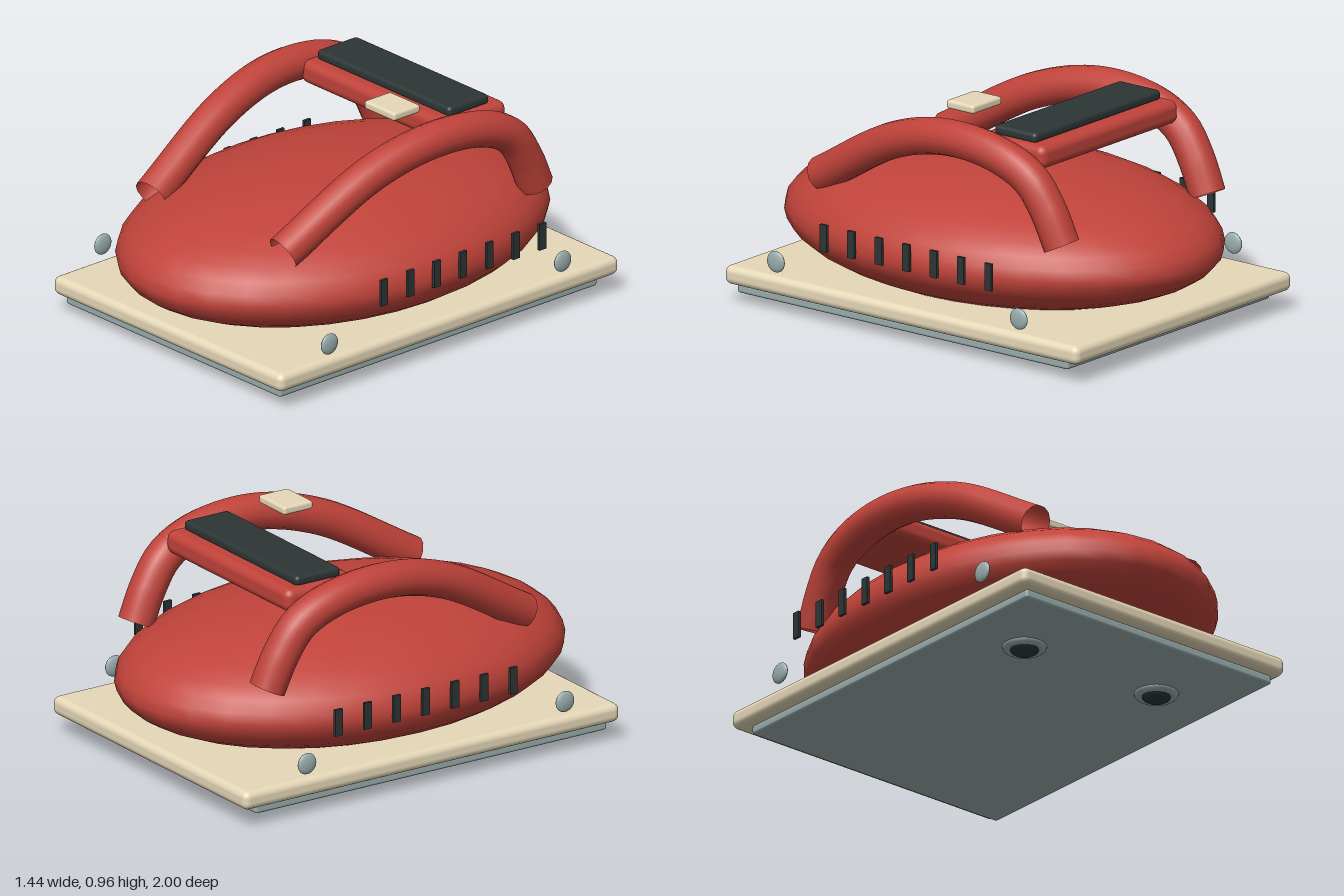
import * as THREE from 'three';
import { RoundedBoxGeometry } from 'three/addons/geometries/RoundedBoxGeometry.js';

const paint = (color, side = THREE.FrontSide) => new THREE.MeshStandardMaterial({ color, side });

export function createModel() {
  const model = new THREE.Group();
  const red = paint(0xc0433a), redOpen = paint(0xc0433a, THREE.DoubleSide);
  const cream = paint(0xe6d8b8), steel = paint(0x9aadad), dark = paint(0x2c3535);

  const add = (name, geometry, material, x = 0, y = 0, z = 0) => {
    const mesh = new THREE.Mesh(geometry, material);
    mesh.name = name;
    mesh.position.set(x, y, z);
    model.add(mesh);
    return mesh;
  };
  const slab = (name, material, [w, h, d], [x, y, z], r) =>
    add(name, new RoundedBoxGeometry(w, h, d, 3, r), material, x, y, z);

  // Body: an ellipsoid, slightly shallower below its middle
  const shell = new THREE.SphereGeometry(1, 32, 20);
  const p = shell.attributes.position;
  for (let i = 0; i < p.count; i++) {
    const y = p.getY(i);
    p.setXYZ(i, p.getX(i) * 0.71, y * (y > 0 ? 0.3 : 0.265), p.getZ(i));
  }
  shell.computeVertexNormals();
  // Keep the seam and poles smooth with the ellipsoid's own normals
  const n = shell.attributes.normal, v = new THREE.Vector3();
  for (let i = 0; i < p.count; i++) {
    const ry = p.getY(i) > 0 ? 0.3 : 0.265;
    v.set(p.getX(i) / 0.71 ** 2, p.getY(i) / ry ** 2, p.getZ(i)).normalize();
    n.setXYZ(i, v.x, v.y, v.z);
  }
  add('body', shell, red, 0, 0.345, 0);

  // Base board and sole plate
  slab('baseBoard', cream, [1.39, 0.08, 1.85], [0, 0.12, -0.018], 0.03);
  slab('solePlate', steel, [1.3, 0.04, 1.73], [0, 0.06, 0.005], 0.012);

  // Cross bar between the handles, its grip pad and the switch
  slab('crossBar', red, [0.88, 0.1, 0.35], [0, 0.825, -0.385], 0.035);
  slab('gripPad', dark, [0.81, 0.045, 0.22], [0, 0.89, -0.382], 0.018);
  slab('switchButton', cream, [0.185, 0.036, 0.145], [0.283, 0.939, -0.07], 0.012);

  // Handle centre line for the left side
  const path = [
    [0.4, 0.53, 0.63], [0.45, 0.77, 0.2], [0.48, 0.842, -0.1], [0.488, 0.82, -0.37],
    [0.482, 0.745, -0.53], [0.475, 0.63, -0.615], [0.468, 0.49, -0.68],
  ];

  for (const s of [1, -1]) {
    const side = s > 0 ? 'left' : 'right';

    // Arched handle tube, open at both ends
    const curve = new THREE.CatmullRomCurve3(path.map(([x, y, z]) => new THREE.Vector3(s * x, y, z)));
    add(side + 'Handle', new THREE.TubeGeometry(curve, 40, 0.076, 14), redOpen);

    // Row of vent slots
    for (let i = 0; i < 7; i++) {
      add(side + 'Vent', new THREE.BoxGeometry(0.013, 0.115, 0.036), dark,
        s * 0.714, 0.382, 0.362 - i * 0.1435);
    }

    // Flattened side bolts
    for (const z of [0.635, -0.635]) {
      add(side + 'Bolt', new THREE.SphereGeometry(0.045, 20, 12), steel, s * 0.688, 0.224, z)
        .scale.x = 0.33;
    }

    // Foot under the sole: ring with a dark dome
    const ring = add(side + 'FootRing', new THREE.TorusGeometry(0.07, 0.022, 10, 28), steel, s * 0.35, 0.042, 0.5);
    ring.rotation.x = Math.PI / 2;
    add(side + 'FootDome', new THREE.SphereGeometry(0.06, 24, 12), dark, s * 0.35, 0.03, 0.5)
      .scale.y = 0.5;
  }

  return model;
}
